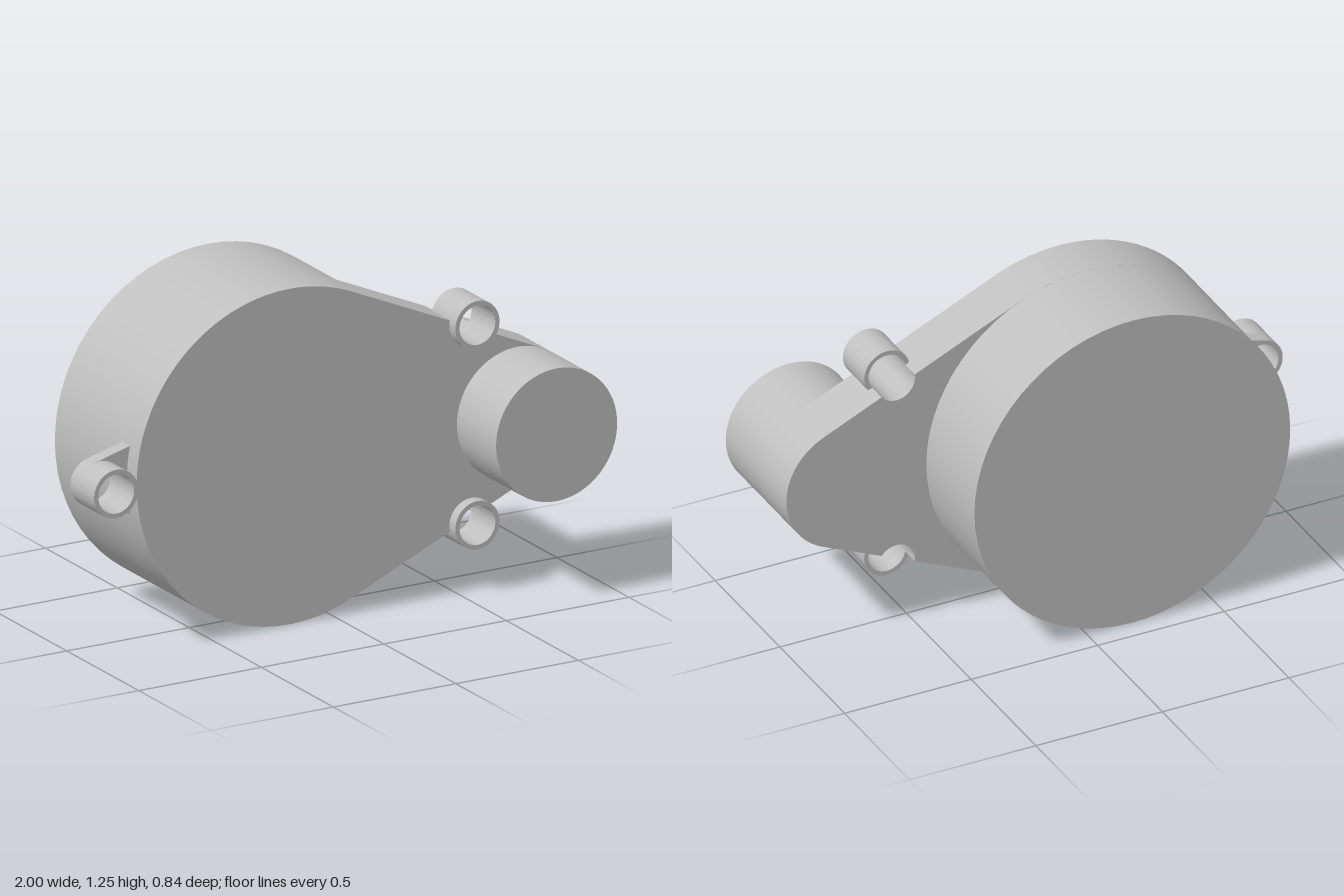
import * as THREE from 'three';
import { toCreasedNormals } from 'three/addons/utils/BufferGeometryUtils.js';

const CY = 0.624;                                // height of the centre line
const DRUM = { x: -0.178, r: 0.624 };
const NOSE = { x: 0.752, r: 0.247 };
const BOSS = { x: 0.564, dy: 0.372, r: 0.09, hole: 0.073 };
const LUG_X = -0.91;

export function createModel() {
  const model = new THREE.Group();
  const grey = new THREE.MeshStandardMaterial({ color: 0xbfbfbf });
  grey.name = 'grey';

  function add(name, geometry) {
    const mesh = new THREE.Mesh(geometry, grey);
    mesh.name = name;
    model.add(mesh);
    return mesh;
  }

  // Extrude a shape drawn around the centre line from z0 to z1
  function extrude(name, shape, z0, z1, curveSegments = 40) {
    const g = new THREE.ExtrudeGeometry(shape, { depth: z1 - z0, bevelEnabled: false, curveSegments });
    return add(name, toCreasedNormals(g.translate(0, CY, z0), 0.5));
  }

  function cylinder(name, { x, r }, z0, z1) {
    const g = new THREE.CylinderGeometry(r, r, z1 - z0, 64).rotateX(Math.PI / 2);
    return add(name, g.translate(x, CY, (z0 + z1) / 2));
  }

  function circleHole(x, y) {
    return new THREE.Path().absarc(x, y, BOSS.hole, 0, Math.PI * 2, true);
  }

  function ring(name, x, y) {
    const shape = new THREE.Shape().absarc(x, y, BOSS.r, 0, Math.PI * 2, false);
    shape.holes.push(circleHole(x, y));
    extrude(name, shape, 0.025, 0.19, 36);
  }

  // Teardrop housing: two circles joined by tangents, notched by the screw holes
  const a = Math.acos((DRUM.r - NOSE.r) / (NOSE.x - DRUM.x));
  const d = (BOSS.x - DRUM.x) * Math.cos(a) + BOSS.dy * Math.sin(a) - DRUM.r;
  const h = Math.acos(d / BOSS.hole);
  const b = a + Math.PI;
  const housing = new THREE.Shape();
  housing.absarc(NOSE.x, 0, NOSE.r, -a, a, false);
  housing.absarc(BOSS.x, BOSS.dy, BOSS.hole, b + h, b - h, true);
  housing.absarc(DRUM.x, 0, DRUM.r, a, Math.PI * 2 - a, false);
  housing.absarc(BOSS.x, -BOSS.dy, BOSS.hole, -(b - h), -(b + h), true);
  extrude('housing', housing, -0.048, 0.148);

  // Large drum behind and small motor nose in front
  cylinder('drum', DRUM, -0.42, -0.048);
  cylinder('nose', NOSE, 0.148, 0.42);

  // Screw bosses
  ring('upperBoss', BOSS.x, BOSS.dy);
  ring('lowerBoss', BOSS.x, -BOSS.dy);
  ring('sideBoss', LUG_X, 0);

  // Tapered web carrying the side boss
  const t = 1.83;
  const web = new THREE.Shape();
  web.moveTo(-0.75, -0.126);
  web.lineTo(-0.75, 0.126);
  web.lineTo(-0.789, 0.126);
  web.absarc(LUG_X, 0, BOSS.r, t, Math.PI * 2 - t, false);
  web.lineTo(-0.789, -0.126);
  web.closePath();
  web.holes.push(circleHole(LUG_X, 0));
  extrude('sideWeb', web, 0.025, 0.08, 36);

  return model;
}
